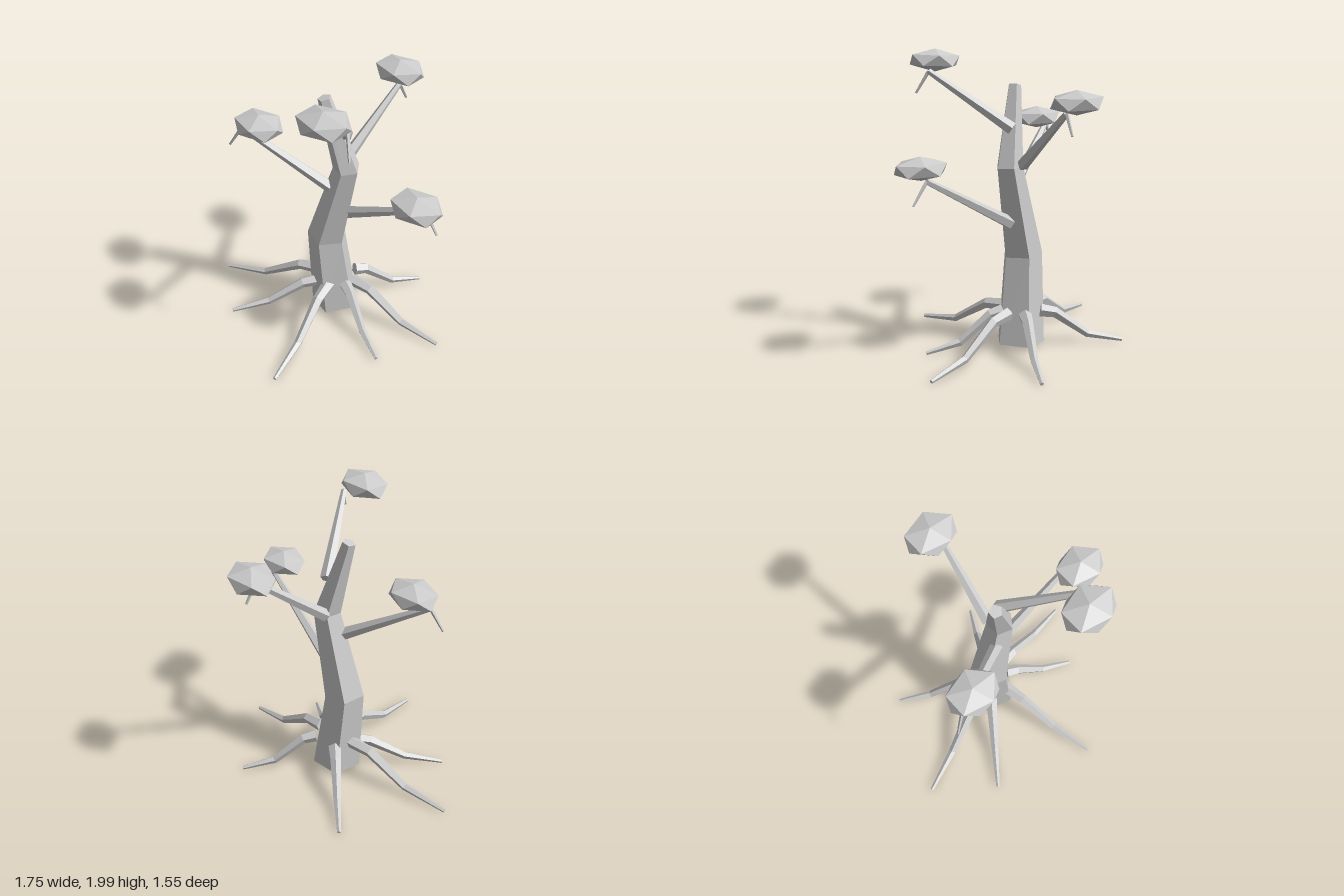
import * as THREE from 'three';
import { ConvexGeometry } from 'three/addons/geometries/ConvexGeometry.js';

const material = new THREE.MeshStandardMaterial({ color: 0xcccccc, flatShading: true });
const SIDES = 5;

// Closed five-sided limb through points [x, y, z, radius]; one corner of each ring faces the hint.
function limbGeometry(path, hint) {
  const pts = path.map(p => new THREE.Vector3(p[0], p[1], p[2]));
  const dirs = pts.slice(1).map((p, i) => p.clone().sub(pts[i]).normalize());
  const pos = [], index = [], last = pts.length - 1;
  pts.forEach((p, i) => {
    const t = dirs[Math.max(i - 1, 0)].clone().add(dirs[Math.min(i, last - 1)]).normalize();
    const u = hint.clone().addScaledVector(t, -t.dot(hint)).normalize();
    const v = t.clone().cross(u);
    for (let k = 0; k < SIDES; k++) {
      const a = k / SIDES * Math.PI * 2, r = path[i][3];
      const q = p.clone().addScaledVector(u, r * Math.cos(a)).addScaledVector(v, r * Math.sin(a));
      pos.push(q.x, q.y, q.z);
    }
  });
  for (let i = 0; i < last; i++) {
    for (let k = 0; k < SIDES; k++) {
      const a = i * SIDES + k, b = i * SIDES + (k + 1) % SIDES;
      index.push(a, b, b + SIDES, a, b + SIDES, a + SIDES);
    }
  }
  // End caps
  for (let k = 1; k < SIDES - 1; k++) {
    const e = last * SIDES;
    index.push(0, k + 1, k, e, e + k, e + k + 1);
  }
  const g = new THREE.BufferGeometry();
  g.setAttribute('position', new THREE.Float32BufferAttribute(pos, 3));
  g.setIndex(index);
  const flat = g.toNonIndexed();
  flat.computeVertexNormals();
  return flat;
}

// Squashed twelve-point leaf clump: two staggered rings of five and two poles.
function foliageGeometry() {
  const pts = [new THREE.Vector3(0, 0.075, 0), new THREE.Vector3(0, -0.075, 0)];
  for (let k = 0; k < 5; k++) {
    const a = k / 5 * Math.PI * 2;
    const x = 0.173 * Math.cos(a), z = 0.138 * Math.sin(a);
    pts.push(new THREE.Vector3(x, 0.034, z), new THREE.Vector3(-x, -0.034, z));
  }
  return new ConvexGeometry(pts);
}

export function createModel() {
  const tree = new THREE.Group();
  tree.name = 'tree';
  const X = new THREE.Vector3(1, 0, 0), Y = new THREE.Vector3(0, 1, 0);
  const add = (parent, name, geometry) => {
    const mesh = new THREE.Mesh(geometry, material);
    mesh.name = name;
    parent.add(mesh);
    return mesh;
  };

  // Crooked trunk
  add(tree, 'trunk', limbGeometry([
    [-0.02, 0.028, -0.07, 0.17],
    [-0.07, 0.64, -0.035, 0.137],
    [0.07, 1.25, -0.073, 0.092],
    [-0.045, 1.77, 0.015, 0.044],
  ], X));

  // Roots: tip x, tip z, height factor
  const cx = -0.02, cz = -0.09;
  const roots = [
    [0.8, -0.22, 1], [0.29, -0.67, 1], [-0.61, -0.47, 0.95], [-0.87, 0.22, 1],
    [-0.49, 0.53, 0.85], [0.2, 0.77, 1], [0.58, 0.17, 1],
  ];
  for (const [x, z, h] of roots) {
    const dx = x - cx, dz = z - cz, start = 0.13 / Math.hypot(dx, dz);
    const at = (f, y, r) => [cx + dx * f, y, cz + dz * f, r];
    add(tree, 'root', limbGeometry([
      at(start, 0.265 * h, 0.046), at(0.33, 0.245 * h, 0.038),
      at(0.65, 0.07, 0.027), at(1, 0.016, 0.013),
    ], Y));
  }

  // Branches, each with a drooping twig and a leaf clump
  const foliage = foliageGeometry();
  const branches = [
    { base: [0.07, 0.88, -0.085], tip: [0.71, 1.24, -0.08], twig: [0.81, 1.1, -0.08], clump: [0.7, 1.305, 0], tilt: 0 },
    { base: [-0.02, 1.09, -0.01], tip: [-0.54, 1.455, 0.27], twig: [-0.62, 1.31, 0.315], clump: [-0.42, 1.507, 0.23], tilt: 0 },
    { base: [0.01, 1.265, -0.13], tip: [0.055, 1.65, -0.6], twig: [0.065, 1.52, -0.665], clump: [0.015, 1.715, -0.645], tilt: 0 },
    { base: [0.055, 1.5, -0.085], tip: [0.42, 1.86, 0.315], twig: [0.485, 1.72, 0.37], clump: [0.315, 1.922, 0.4], tilt: 0.05 },
  ];
  for (const b of branches) {
    const group = new THREE.Group();
    group.name = 'branch';
    tree.add(group);
    add(group, 'bough', limbGeometry([[...b.base, 0.043], [...b.tip, 0.02]], Y));
    add(group, 'twig', limbGeometry([[...b.tip, 0.013], [...b.twig, 0.008]], X));
    const clump = add(group, 'foliage', foliage);
    clump.position.set(...b.clump);
    clump.rotation.z = b.tilt;
  }
  return tree;
}
